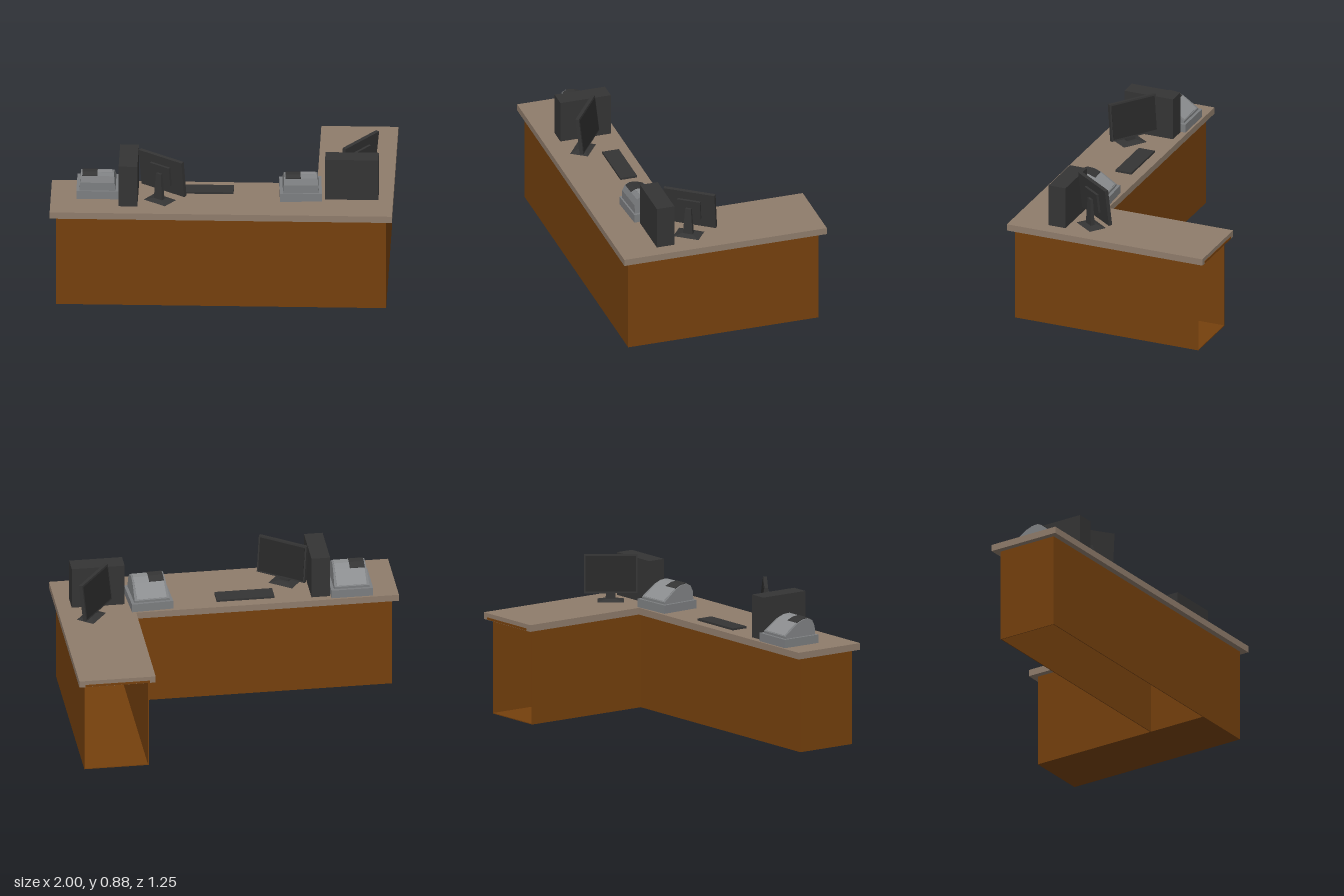
import * as THREE from 'three';

const mat = (name, color, extra = {}) => Object.assign(new THREE.MeshStandardMaterial({ color, ...extra }), { name });

export function createModel() {
  const wood = mat('brown wood', 0x75400d);
  const counter = mat('taupe counter', 0x8f7c6b);
  const dark = mat('dark plastic', 0x343434);
  const black = mat('screen black', 0x282828);
  const grey = mat('grey plastic', 0x7c7e80);
  const light = mat('light grey panel', 0x8b8d8f);
  const model = new THREE.Group();
  model.name = 'receptionDesk';
  const TOP = 0.605;

  const add = (parent, name, geo, material, x = 0, y = 0, z = 0) => {
    const m = new THREE.Mesh(geo, material);
    m.name = name;
    m.position.set(x, y, z);
    parent.add(m);
    return m;
  };
  // Box given by its limits on each axis
  const span = (parent, name, material, [x0, x1], [y0, y1], [z0, z1]) =>
    add(parent, name, new THREE.BoxGeometry(x1 - x0, y1 - y0, z1 - z0), material,
      (x0 + x1) / 2, (y0 + y1) / 2, (z0 + z1) / 2);
  const toShape = pts => new THREE.Shape(pts.map(p => new THREE.Vector2(...p)));

  // L-shaped counter slab
  const slab = new THREE.ExtrudeGeometry(toShape([
    [-1, 0.17], [0.55, 0.17], [0.55, -0.625], [1, -0.625], [1, 0.62], [-1, 0.62],
  ]), { depth: 0.04, bevelEnabled: false });
  slab.rotateX(Math.PI / 2);
  add(model, 'counterTop', slab, counter, 0, TOP, 0);
  span(model, 'counterEndTrim', wood, [0.585, 0.965], [0.567, 0.58], [-0.628, -0.624]);

  // Hollow base: thin walls, open at the wing end and under the long part
  const t = 0.005, h = [0, 0.565];
  span(model, 'frontPanel', wood, [-0.965, 0.965], h, [0.585 - t, 0.585]);
  span(model, 'leftPanel', wood, [0.965 - t, 0.965], h, [-0.585, 0.585]);
  span(model, 'rightPanel', wood, [-0.965, -0.965 + t], h, [0.21, 0.585]);
  span(model, 'backPanel', wood, [-0.965, 0.585], h, [0.21, 0.21 + t]);
  span(model, 'wingInnerPanel', wood, [0.585, 0.585 + t], h, [-0.585, 0.585]);
  span(model, 'wingFloor', wood, [0.585, 0.965], [0, t], [-0.585, 0.585]);

  // Computer towers and keyboard
  span(model, 'rightTower', dark, [-0.6, -0.49], [TOP, 0.86], [0.212, 0.522]);
  span(model, 'leftTower', dark, [0.602, 0.914], [TOP, 0.86], [0.284, 0.392]);
  span(model, 'keyboard', dark, [-0.275, 0.066], [TOP, 0.617], [0.234, 0.336]);

  // Side profile (z, y) swept across x
  const sweep = (pts, width) => {
    const g = new THREE.ExtrudeGeometry(toShape(pts), { depth: width, bevelEnabled: false });
    g.translate(0, 0, -width / 2);
    g.rotateY(-Math.PI / 2);
    return g;
  };

  // Cash registers: drawer, sloping rounded body, panel and display patch
  const crown = [[-0.012, 0.129], [0.03, 0.146], [0.07, 0.149], [0.096, 0.136]];
  const band = (pts, d) => [...pts, ...pts.slice().reverse().map(([z, y]) => [z, y + d])];
  const register = (name, x, z, turn) => {
    const g = new THREE.Group();
    g.name = name;
    g.position.set(x, TOP, z);
    g.rotation.y = turn;
    model.add(g);
    span(g, 'drawer', grey, [-0.123, 0.123], [0, 0.05], [-0.122, 0.122]);
    const body = sweep([[-0.105, 0.05], [-0.105, 0.063], ...crown, [0.112, 0.1], [0.112, 0.05]], 0.21);
    const p = body.attributes.position;
    for (let i = 0; i < p.count; i++) p.setX(i, p.getX(i) * (1 - 0.8 * (p.getY(i) - 0.05)));
    body.computeVertexNormals();
    add(g, 'registerBody', body, grey);
    add(g, 'keyPanel', sweep(band([[-0.1, 0.066], crown[0], crown[1], crown[2]], 0.002), 0.175), light);
    add(g, 'display', sweep(band(crown, 0.004), 0.088), dark, -0.045, 0, 0);
  };
  register('rightRegister', -0.727, 0.305, 0);
  register('leftRegister', 0.457, 0.306, 0.05);

  // Monitors: tilted panel, tapered neck and foot; local +z is the screen side
  const monitor = (name, x, z, turn) => {
    const g = new THREE.Group();
    g.name = name;
    g.position.set(x, TOP, z);
    g.rotation.y = turn;
    model.add(g);
    const head = new THREE.Group();
    head.name = 'monitorHead';
    head.position.set(0, 0.165, 0);
    head.rotation.x = -0.12;
    g.add(head);
    span(head, 'casing', dark, [-0.157, 0.157], [-0.114, 0.114], [-0.01, 0.012]);
    span(head, 'screen', black, [-0.147, 0.147], [-0.104, 0.104], [0.012, 0.014]);
    span(head, 'backHousing', dark, [-0.07, 0.07], [-0.06, 0.06], [-0.024, -0.01]);
    const neck = new THREE.CylinderGeometry(0.025, 0.042, 0.165, 4, 1);
    neck.rotateY(Math.PI / 4);
    neck.scale(1, 1, 0.45);
    add(g, 'neck', neck.toNonIndexed(), dark, 0, 0.09, -0.032).geometry.computeVertexNormals();
    const foot = new THREE.CylinderGeometry(0.045, 0.11, 0.012, 4, 1);
    foot.rotateY(Math.PI / 4);
    foot.scale(1, 1, 0.7);
    add(g, 'foot', foot.toNonIndexed(), dark, 0, 0.006, -0.025).geometry.computeVertexNormals();
  };
  monitor('rightMonitor', -0.347, 0.405, 2.52);
  monitor('leftMonitor', 0.795, 0.148, -2.21);

  return model;
}
